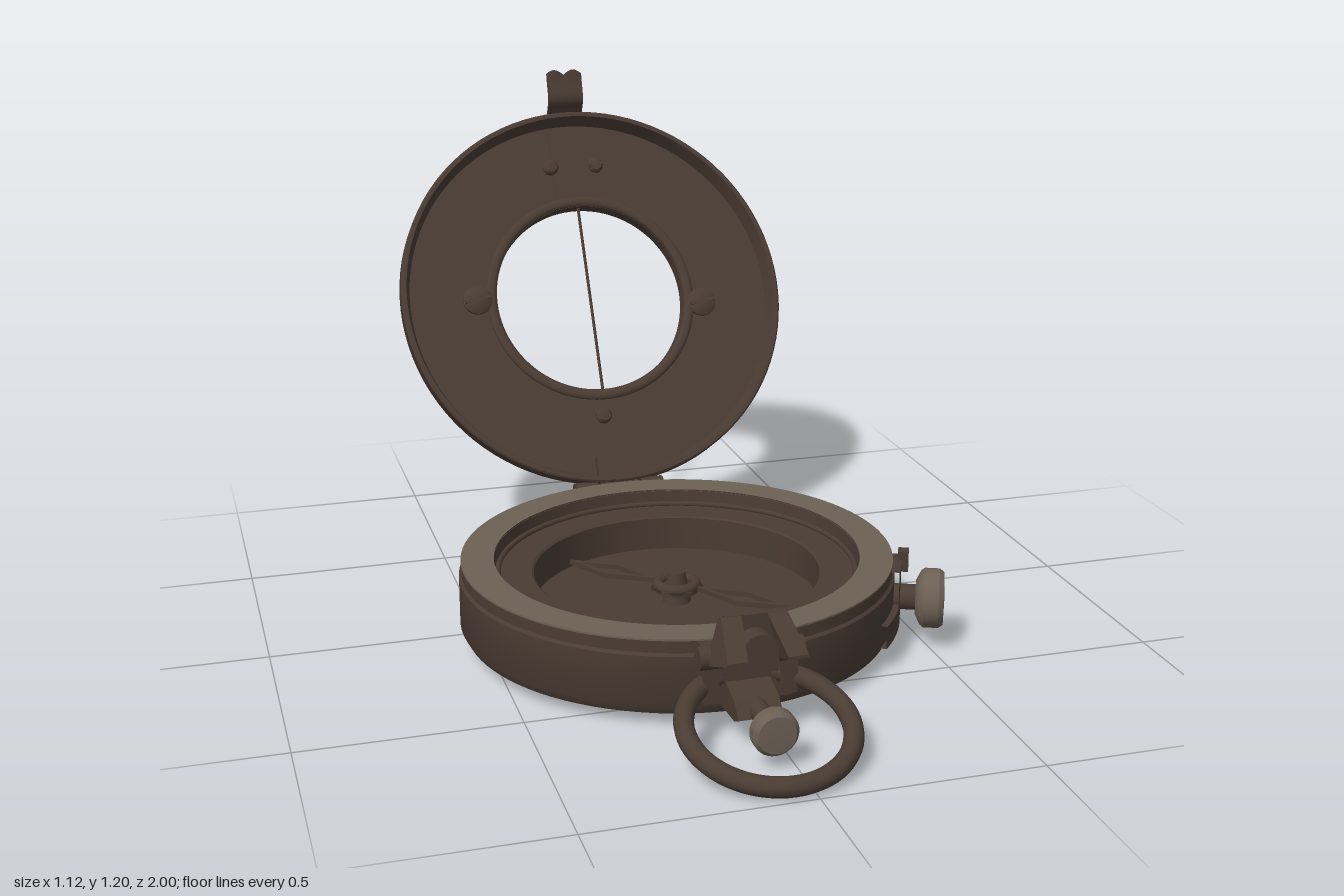
import * as THREE from 'three';
import { toCreasedNormals } from 'three/addons/utils/BufferGeometryUtils.js';

const bronze = new THREE.MeshStandardMaterial({ color: 0x4a3c33, side: THREE.DoubleSide });
bronze.name = 'darkBronze';
const worn = new THREE.MeshStandardMaterial({ color: 0x6c6054, side: THREE.DoubleSide });
worn.name = 'wornBronze';

const CX = -0.045, CZ = 0.125;

function add(parent, name, geo, x = 0, y = 0, z = 0, mat = bronze) {
  const m = new THREE.Mesh(geo, mat);
  m.name = name;
  m.position.set(x, y, z);
  parent.add(m);
  return m;
}
function lathe(pts, seg = 96, start = 0, len = Math.PI * 2) {
  const g = new THREE.LatheGeometry(pts.map(p => new THREE.Vector2(p[0], p[1])), seg, start, len);
  return toCreasedNormals(g, 0.6);
}
const cyl = (r, h, seg = 32, r2 = r) => new THREE.CylinderGeometry(r, r2, h, seg);
const box = (w, h, d) => new THREE.BoxGeometry(w, h, d);
// Outline given as [z, y], extruded across x and centred
function sideExtrude(pts, w) {
  const s = new THREE.Shape(pts.map(p => new THREE.Vector2(p[0], p[1])));
  const g = new THREE.ExtrudeGeometry(s, { depth: w, bevelEnabled: false });
  return g.rotateY(-Math.PI / 2).translate(w / 2, 0, 0);
}

// Low domed screw head with slot bar, facing local z
function screw(parent, name, x, y, z, r, dir, slot) {
  const g = new THREE.Group();
  g.name = name;
  g.position.set(x, y, z);
  if (dir < 0) g.rotation.y = Math.PI;
  const head = lathe([[r, 0], [r, 0.008], [r * 0.75, 0.015], [0, 0.019]], 28);
  add(g, 'screwHead', head.rotateX(Math.PI / 2));
  if (slot) add(g, 'screwSlot', box(r * 1.8, 0.009, 0.008), 0, 0, 0.014).rotation.z = 0.15;
  parent.add(g);
}

function buildCase(root) {
  const g = new THREE.Group();
  g.name = 'case';
  g.position.set(CX, 0, CZ);
  root.add(g);
  // Shell: underside rings, outer wall, stepped well and dial floor
  add(g, 'caseShell', lathe([
    [0, 0.004], [0.095, 0.004], [0.1, 0.012], [0.285, 0.012], [0.29, 0], [0.445, 0],
    [0.453, 0.006], [0.453, 0.022], [0.485, 0.022], [0.505, 0.03], [0.517, 0.052],
    [0.517, 0.168], [0.511, 0.174], [0.511, 0.203], [0.508, 0.205], [0.435, 0.205],
    [0.432, 0.166], [0.345, 0.166], [0.34, 0.162], [0.34, 0.08], [0, 0.08],
  ]));
  add(g, 'rimFace', lathe([[0.434, 0.202], [0.512, 0.202], [0.512, 0.206], [0.434, 0.206]]), 0, 0, 0, worn);
  add(g, 'dialRing', new THREE.TorusGeometry(0.425, 0.007, 8, 96).rotateX(Math.PI / 2), 0, 0.17, 0);

  // Needle: two hollow diamonds on a pivot
  const needle = new THREE.Group();
  needle.name = 'needle';
  needle.position.y = 0.115;
  needle.rotation.y = -Math.PI / 4;
  g.add(needle);
  const kite = (a, b, m, w) => [[a, 0], [m, -w], [b, 0], [m, w]].map(p => new THREE.Vector2(...p));
  for (const side of [0, Math.PI]) {
    const s = new THREE.Shape(kite(0.05, 0.3, 0.18, 0.037));
    s.holes.push(new THREE.Path(kite(0.085, 0.265, 0.18, 0.024)));
    const k = new THREE.ExtrudeGeometry(s, { depth: 0.012, bevelEnabled: false });
    add(needle, 'needleArm', k.rotateX(-Math.PI / 2)).rotation.y = side;
  }
  add(needle, 'needleCollar', new THREE.TorusGeometry(0.045, 0.013, 10, 32).rotateX(Math.PI / 2), 0, 0.008, 0);
  add(needle, 'needlePlate', cyl(0.062, 0.012, 6));
  add(needle, 'needlePivot', cyl(0.02, 0.075, 24, 0.034), 0, 0.002, 0);

  // Side lock: curved plate, upright tab and knob
  const lock = new THREE.Group();
  lock.name = 'sideLock';
  lock.rotation.y = -THREE.MathUtils.degToRad(24);
  g.add(lock);
  const shell = (y0, y1, from, to) => lathe(
    [[0.51, y0], [0.532, y0], [0.532, y1], [0.51, y1]], 12, Math.PI / 2 - to, to - from);
  add(lock, 'lockPlate', shell(0.055, 0.11, -0.12, 0.31));
  add(lock, 'lockUpright', shell(0.055, 0.2, -0.13, 0.1));
  add(lock, 'lockTab', box(0.025, 0.05, 0.03), 0.535, 0.195, -0.045);
  add(lock, 'lockStem', cyl(0.03, 0.07).rotateZ(Math.PI / 2), 0.55, 0.12, 0);
  const knob = lathe([[0, 0], [0.04, 0], [0.064, 0.012], [0.07, 0.02], [0.07, 0.055], [0.062, 0.066], [0, 0.068]], 40);
  add(lock, 'lockKnob', knob.rotateZ(-Math.PI / 2), 0.567, 0.12, 0, worn);
}

function buildLid(root) {
  const g = new THREE.Group();
  g.name = 'lid';
  g.position.set(CX, 0.652, -0.66);
  g.rotation.x = -Math.PI / 6;
  root.add(g);
  // Dished ring with rounded back edge and round window
  add(g, 'lidShell', lathe([
    [0.257, -0.045], [0.257, -0.083], [0.465, -0.083], [0.49, -0.077], [0.507, -0.064], [0.517, -0.042],
    [0.517, -0.004], [0.513, 0], [0.503, 0], [0.497, -0.02], [0.49, -0.045], [0.257, -0.045],
  ]).rotateX(Math.PI / 2));
  for (const z of [-0.045, -0.082])
    add(g, 'windowBezel', new THREE.TorusGeometry(0.272, 0.014, 10, 80).scale(1, 1, 0.6), 0, 0, z);
  add(g, 'sightWire', cyl(0.004, 0.53, 8), 0, 0, -0.058);
  // Fasteners on both faces
  for (const [z, d] of [[-0.045, 1], [-0.083, -1]]) {
    screw(g, 'windowScrew', -0.31, 0.012, z, 0.039, d, true);
    screw(g, 'windowScrew', 0.305, -0.037, z, 0.039, d, true);
    screw(g, 'lowerRivet', -0.01, -0.33, z, 0.021, d, false);
  }
  screw(g, 'strapRivet', -0.065, 0.372, -0.045, 0.021, 1, false);
  screw(g, 'strapRivet', 0.06, 0.372, -0.045, 0.021, 1, true);
  for (const y of [0.32, 0.42]) screw(g, 'strapRivet', 0, y, -0.093, 0.024, -1, false);
  add(g, 'strapSeat', box(0.12, 0.2, 0.006), 0, 0.37, -0.044);

  // Rear strap rising into a wavy notched sight
  const path = new THREE.CatmullRomCurve3([
    [0.842, -0.872], [0.92, -0.918], [0.996, -0.962], [1.03, -0.983], [1.065, -0.993],
    [1.095, -0.98], [1.125, -0.966], [1.16, -0.975], [1.19, -0.986],
  ].map(p => new THREE.Vector3(0, p[0], p[1])));
  const strap = box(0.096, 1, 0.012);
  const sg = new THREE.BoxGeometry(0.096, 1, 0.012, 16, 40, 1), pos = sg.attributes.position;
  strap.dispose();
  for (let i = 0; i < pos.count; i++) {
    const x = pos.getX(i), t = pos.getY(i) + 0.5, p = path.getPoint(t);
    const crown = 0.014 * Math.sin(Math.PI * 2 * Math.abs(x) / 0.096 * 0.9) * THREE.MathUtils.smoothstep(t, 0.93, 1);
    pos.setXYZ(i, x, p.y + crown, p.z + pos.getZ(i));
  }
  sg.computeVertexNormals();
  add(root, 'rearSight', sg, CX, 0, 0);
}

function buildHinge(root) {
  const g = new THREE.Group();
  g.name = 'hinge';
  g.position.set(CX, 0.17, -0.418);
  root.add(g);
  add(g, 'hingePin', cyl(0.016, 0.25, 20).rotateZ(Math.PI / 2));
  add(g, 'lidKnuckle', cyl(0.031, 0.1).rotateZ(Math.PI / 2));
  const leaf = add(g, 'lidLeaf', box(0.1, 0.1, 0.025), 0, 0.04, -0.025);
  leaf.rotation.x = -Math.PI / 6;
  for (const s of [-1, 1]) {
    add(g, 'caseKnuckle', cyl(0.031, 0.06).rotateZ(Math.PI / 2), s * 0.088, 0, 0);
    add(g, 'caseKnuckleBlock', box(0.06, 0.05, 0.06), s * 0.088, -0.01, 0.035);
  }
}

function buildClasp(root) {
  const g = new THREE.Group();
  g.name = 'frontClasp';
  g.position.x = CX;
  root.add(g);
  // Carrying ring
  const ring = add(g, 'carryRing', new THREE.TorusGeometry(0.178, 0.022, 14, 64), 0, 0.075, 0.808);
  ring.rotation.x = Math.PI / 2 + 0.29;
  // Bracket on the case and hinge bar
  add(g, 'claspBracket', box(0.2, 0.13, 0.04), 0, 0.135, 0.648);
  add(g, 'claspBar', cyl(0.026, 0.235).rotateZ(Math.PI / 2), 0, 0.187, 0.682);
  add(g, 'claspTongue', sideExtrude([[0.63, 0.05], [0.73, 0.055], [0.76, 0.07], [0.73, 0.1], [0.63, 0.13]], 0.1));
  for (const s of [-1, 1]) {
    add(g, 'claspLeg', box(0.034, 0.1, 0.045), s * 0.088, 0.135, 0.668);
    // Sight cheeks, leaning inward toward the top
    const cheek = sideExtrude([[0.69, 0.175], [0.705, 0.178], [0.8, 0.215], [0.8, 0.222], [0.705, 0.285], [0.69, 0.28]], 0.045);
    const p = cheek.attributes.position;
    for (let i = 0; i < p.count; i++) p.setX(i, p.getX(i) + s * (0.072 - (p.getY(i) - 0.2) * 0.25));
    cheek.computeVertexNormals();
    add(g, 'sightCheek', cheek);
  }
  add(g, 'sightBack', box(0.13, 0.1, 0.018), 0, 0.235, 0.697);
  // Rounded sight block between the cheeks
  add(g, 'sightBlock', cyl(0.041, 0.055).rotateX(Math.PI / 2), 0, 0.214, 0.722);
  add(g, 'sightBlockBase', box(0.082, 0.045, 0.055), 0, 0.192, 0.722);
  // Thumb stud
  add(g, 'studStem', cyl(0.018, 0.16, 24, 0.026).rotateX(Math.PI / 2), 0, 0.08, 0.76);
  const stud = lathe([[0, 0], [0.035, 0], [0.051, 0.012], [0.051, 0.034], [0.042, 0.045], [0, 0.047]], 36);
  add(g, 'studKnob', stud.rotateX(Math.PI / 2), 0, 0.08, 0.82, worn);
}

export function createModel() {
  const root = new THREE.Group();
  root.name = 'pocketCompass';
  buildCase(root);
  buildLid(root);
  buildHinge(root);
  buildClasp(root);
  return root;
}
